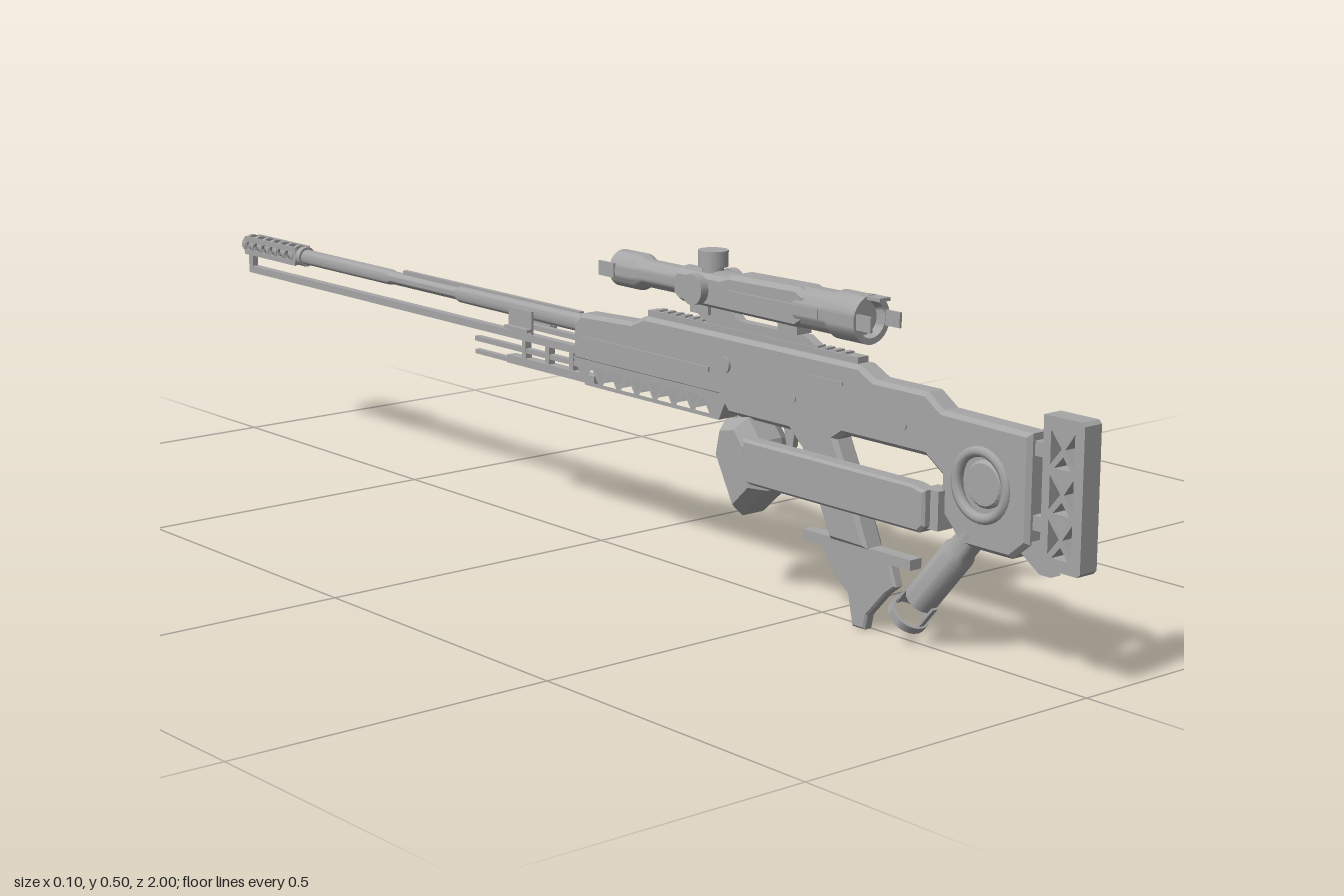
import * as THREE from 'three';
import { toCreasedNormals } from 'three/addons/utils/BufferGeometryUtils.js';

const metal = new THREE.MeshStandardMaterial({ color: 0xa6a6a6 });
metal.name = 'gunmetal grey';

export function createModel() {
  const root = new THREE.Group();
  root.name = 'rifle';
  const model = new THREE.Group();
  model.name = 'rifleParts';
  model.position.x = -0.006;
  root.add(model);

  const add = (name, geo, x = 0, y = 0, z = 0, parent = model) => {
    const m = new THREE.Mesh(geo, metal);
    m.name = name;
    m.position.set(x, y, z);
    parent.add(m);
    return m;
  };
  // box given by its ranges in y and z
  const bar = (name, w, y0, y1, z0, z1, x = 0) =>
    add(name, new THREE.BoxGeometry(w, y1 - y0, Math.abs(z1 - z0)), x, (y0 + y1) / 2, (z0 + z1) / 2);
  // side outline of [z, y] points, extruded across x with an inward bevel
  const toVec = pts => pts.map(p => new THREE.Vector2(p[0], p[1]));
  const plate = (name, pts, w, { bevel = 0, inset = bevel, holes = [], x = 0 } = {}) => {
    const shape = new THREE.Shape(toVec(pts));
    holes.forEach(h => shape.holes.push(new THREE.Path(toVec(h))));
    const g = new THREE.ExtrudeGeometry(shape, {
      depth: w - 2 * bevel, bevelEnabled: bevel > 0, bevelThickness: bevel,
      bevelSize: inset, bevelOffset: -inset, bevelSegments: 1,
    });
    g.translate(0, 0, bevel - w / 2);
    g.rotateY(-Math.PI / 2);
    return add(name, g, x);
  };
  const circle = (z, y, r, n = 24) => Array.from({ length: n }, (_, i) => {
    const a = i / n * Math.PI * 2;
    return [z + r * Math.cos(a), y + r * Math.sin(a)];
  });
  // turned part along z, profile of [z, radius] with z rising outside
  const turned = (name, prof, y, sides = 24) => {
    const g = new THREE.LatheGeometry(toVec(prof.map(p => [p[1], p[0]])), sides);
    g.rotateX(Math.PI / 2);
    return add(name, toCreasedNormals(g, 0.6), 0, y);
  };
  const disc = (name, r, len, x, y, z, axis) => {
    const g = new THREE.CylinderGeometry(r, r, len, 24);
    if (axis === 'x') g.rotateZ(Math.PI / 2);
    if (axis === 'z') g.rotateX(Math.PI / 2);
    return add(name, g, x, y, z);
  };

  // stock, receiver and grip in one outline, with a ring opening in the stock
  plate('stockAndReceiver', [
    [0.91, 0.34], [0.75, 0.343], [0.72, 0.363], [0.62, 0.363], [0.59, 0.378],
    [0.13, 0.378], [0.10, 0.365], [-0.02, 0.36], [-0.04, 0.345], [-0.04, 0.285],
    [0.30, 0.285], [0.32, 0.262], [0.45, 0.262], [0.475, 0.24], [0.535, 0.12],
    [0.61, 0.12], [0.56, 0.235], [0.545, 0.265], [0.56, 0.275], [0.72, 0.275],
    [0.75, 0.255], [0.75, 0.205], [0.79, 0.165], [0.88, 0.165], [0.91, 0.19],
  ], 0.038, { bevel: 0.006, holes: [circle(0.825, 0.255, 0.043)] });
  bar('topRail', 0.02, 0.376, 0.387, 0.13, 0.58);
  for (let i = 0; i < 22; i++) bar('railTooth', 0.016, 0.386, 0.39, 0.145 + i * 0.019, 0.155 + i * 0.019);
  plate('stockSpur', [[0.945, 0.153], [0.905, 0.2], [0.87, 0.19], [0.925, 0.153]], 0.02);

  // ring in the stock
  for (const s of [-1, 1]) {
    const ring = add('stockRing', new THREE.TorusGeometry(0.046, 0.008, 8, 32), s * 0.017, 0.255, 0.825);
    ring.rotation.y = Math.PI / 2;
  }
  plate('stockRingHub', circle(0.825, 0.255, 0.033), 0.03, { bevel: 0.004 });
  disc('stockRingWeb', 0.044, 0.014, 0, 0.255, 0.825, 'x');

  // open-work butt pad
  const buttHoles = [];
  for (let i = 0; i < 3; i++) {
    const y = 0.182 + i * 0.06;
    buttHoles.push([[0.943, y + 0.004], [0.943, y + 0.05], [0.962, y + 0.027]]);
    buttHoles.push([[0.984, y + 0.004], [0.984, y + 0.05], [0.968, y + 0.027]]);
    buttHoles.push([[0.95, y], [0.978, y], [0.965, y + 0.017]]);
    buttHoles.push([[0.95, y + 0.054], [0.978, y + 0.054], [0.965, y + 0.037]]);
  }
  plate('buttPad', [[1, 0.17], [1, 0.365], [0.995, 0.37], [0.93, 0.37], [0.93, 0.19], [0.95, 0.165], [0.995, 0.165]],
    0.032, { holes: buttHoles });
  for (const y of [0.21, 0.31]) bar('buttConnector', 0.018, y, y + 0.02, 0.9, 0.935);

  // open-work lower handguard
  const trussHoles = [];
  for (let i = 0; i < 7; i++) {
    const z = 0.28 - i * 0.043;
    trussHoles.push([[z, 0.256], [z - 0.032, 0.256], [z - 0.016, 0.279]]);
    if (i < 6) trussHoles.push([[z - 0.022, 0.28], [z - 0.053, 0.28], [z - 0.0375, 0.259]]);
  }
  plate('lowerHandguard', [[0.32, 0.29], [0.3, 0.25], [-0.01, 0.25], [-0.04, 0.29]], 0.036, { holes: trussHoles });
  for (const s of [-1, 1]) {
    bar('handguardRib', 0.006, 0.318, 0.326, -0.02, 0.28, s * 0.019);
    disc('receiverPin', 0.012, 0.006, s * 0.02, 0.335, 0.315, 'x');
    for (const z of [0.46, 0.68]) disc('smallPin', 0.006, 0.006, s * 0.018, 0.31, z, 'x');
    bar('sideSlot', 0.004, 0.345, 0.35, 0.48, 0.56, s * 0.019);
  }

  // ejection port and bolt handle on the left side
  plate('ejectionPortFrame', [[0.44, 0.312], [0.44, 0.356], [0.365, 0.356], [0.365, 0.312]], 0.006,
    { x: 0.02, holes: [[[0.433, 0.319], [0.433, 0.349], [0.405, 0.349], [0.405, 0.319]],
      [[0.398, 0.319], [0.398, 0.349], [0.372, 0.349], [0.372, 0.319]]] });
  disc('boltHandle', 0.003, 0.04, 0.034, 0.352, 0.54, 'x');
  bar('boltKnob', 0.008, 0.348, 0.356, 0.532, 0.548, 0.05);

  // trigger, foot below the grip
  plate('trigger', [[0.45, 0.265], [0.425, 0.265], [0.432, 0.235], [0.42, 0.21], [0.43, 0.21], [0.445, 0.235]], 0.01);
  bar('gripBar', 0.022, 0.106, 0.121, 0.475, 0.69);
  plate('gripFoot', [[0.645, 0.115], [0.66, 0.075], [0.64, 0.06], [0.605, 0.022], [0.6, 0], [0.575, 0],
    [0.565, 0.045], [0.535, 0.068], [0.505, 0.112]], 0.018, { bevel: 0.003 });

  // faceted magazine pod and its feed box on the right side
  plate('magazinePod', [[0.41, 0.165], [0.394, 0.235], [0.367, 0.266], [0.319, 0.256], [0.308, 0.205],
    [0.357, 0.118]], 0.088, { bevel: 0.024, inset: 0.015 });
  plate('feedBox', [[0.745, 0.235], [0.72, 0.24], [0.38, 0.24], [0.38, 0.175], [0.735, 0.175], [0.745, 0.185]],
    0.028, { bevel: 0.004, x: -0.03 });
  bar('feedBoxBracket', 0.03, 0.18, 0.235, 0.73, 0.76, -0.016);

  // slanted tube with a ring at its end, local y along the tube
  const leg = new THREE.Group();
  leg.name = 'slantedTube';
  leg.position.set(0, 0.17, 0.79);
  leg.rotation.x = Math.atan2(0.65, 0.76);
  model.add(leg);
  const lathe = (prof) => toCreasedNormals(new THREE.LatheGeometry(toVec(prof), 24), 0.6);
  add('tubeBody', lathe([[0, -0.05], [0.018, -0.05], [0.018, -0.135], [0.024, -0.135], [0.024, -0.03],
    [0.02, -0.02], [0.02, 0.02], [0, 0.02]]), 0, 0, 0, leg);
  add('tubeRing', lathe([[0.025, -0.168], [0.03, -0.168], [0.03, -0.18 + 0.024], [0.025, -0.156], [0.025, -0.168]]),
    0, -0.008, 0, leg);
  for (const s of [-1, 1])
    add('ringStrut', new THREE.BoxGeometry(0.01, 0.05, 0.004), 0, -0.15, s * 0.025, leg);

  // barrel with steps and hollow muzzle
  const by = 0.341;
  turned('barrel', [[-0.96, 0], [-0.96, 0.007], [-0.995, 0.007], [-0.995, 0.013], [-0.975, 0.013], [-0.97, 0.01],
    [-0.83, 0.01], [-0.82, 0.013], [-0.55, 0.013], [-0.54, 0.011], [-0.36, 0.011], [-0.35, 0.014],
    [0, 0.015], [0, 0]], by);
  bar('barrelTopRib', 0.008, 0.35, 0.358, -0.51, -0.04);
  for (const s of [-1, 1]) {
    const holes = [];
    for (let i = 0; i < 6; i++) holes.push(circle(-0.842 - i * 0.025, by, 0.008, 8));
    plate('muzzleBrakeSide', [[-0.82, 0.325], [-0.815, by], [-0.82, 0.357], [-0.98, 0.357], [-0.985, by],
      [-0.98, 0.325]], 0.004, { x: s * 0.014, holes });
    bar('barrelBracketSide', 0.004, 0.308, 0.345, -0.2, -0.14, s * 0.019);
    bar('barrelBracketTab', 0.01, 0.312, 0.317, -0.2, -0.14, s * 0.025);
  }
  for (let i = 0; i < 7; i++) disc('muzzleBrakeRing', 0.0175, 0.008, 0, by, -0.83 - i * 0.025, 'z');
  disc('muzzleCollar', 0.017, 0.012, 0, by, -0.81, 'z');

  // rods beneath the barrel
  bar('longRod', 0.014, 0.291, 0.303, -0.98, 0.07);
  bar('frontPost', 0.01, 0.291, 0.335, -0.985, -0.972);
  bar('middleRod', 0.012, 0.312, 0.32, -0.21, 0.07);
  bar('lowerRod', 0.01, 0.271, 0.279, -0.31, 0);
  bar('lowestRod', 0.01, 0.25, 0.257, -0.31, 0);
  bar('lowerRodSleeve', 0.018, 0.25, 0.263, -0.22, 0);
  for (const z of [-0.06, -0.12, -0.18]) bar('rodClamp', 0.012, 0.252, 0.3, z - 0.005, z + 0.005);

  // scope with recessed lenses at both ends
  const sy = 0.441;
  turned('scopeTube', [[0.08, 0], [0.08, 0.023], [0.06, 0.025], [0.06, 0.028], [0.11, 0.028], [0.125, 0.021],
    [0.2, 0.021], [0.21, 0.025], [0.45, 0.025], [0.47, 0.031], [0.53, 0.031], [0.54, 0.035], [0.595, 0.035],
    [0.595, 0.026], [0.58, 0.024], [0.58, 0]], sy, 32);
  plate('scopeHousing', [[0.47, 0.413], [0.49, 0.425], [0.49, 0.462], [0.47, 0.471], [0.33, 0.469], [0.31, 0.463],
    [0.215, 0.463], [0.205, 0.45], [0.205, 0.425], [0.22, 0.415]], 0.056, { bevel: 0.01, inset: 0.006 });
  disc('topTurret', 0.0225, 0.024, 0, 0.483, 0.265, 'y');
  disc('topTurretStem', 0.016, 0.03, 0, 0.462, 0.265, 'y');
  for (const s of [-1, 1]) {
    disc('sideTurret', 0.023, 0.014, s * 0.036, sy, 0.265, 'x');
    bar('scopeSideRail', 0.006, 0.434, 0.448, 0.33, 0.52, s * 0.029);
    for (const z of [0.055, 0.605]) bar('lensHoodFin', 0.004, 0.43, 0.452, z - 0.018, z + 0.018, s * 0.028);
  }
  bar('eyepieceTopFin', 0.02, 0.47, 0.475, 0.58, 0.62);
  // scope mount
  plate('scopeMount', [[0.5, 0.385], [0.47, 0.4], [0.33, 0.4], [0.31, 0.415], [0.22, 0.415], [0.24, 0.398],
    [0.27, 0.385]], 0.016);
  for (const z of [0.44, 0.25]) bar('mountBlock', 0.028, 0.4, 0.418, z - 0.02, z + 0.02);
  return root;
}
